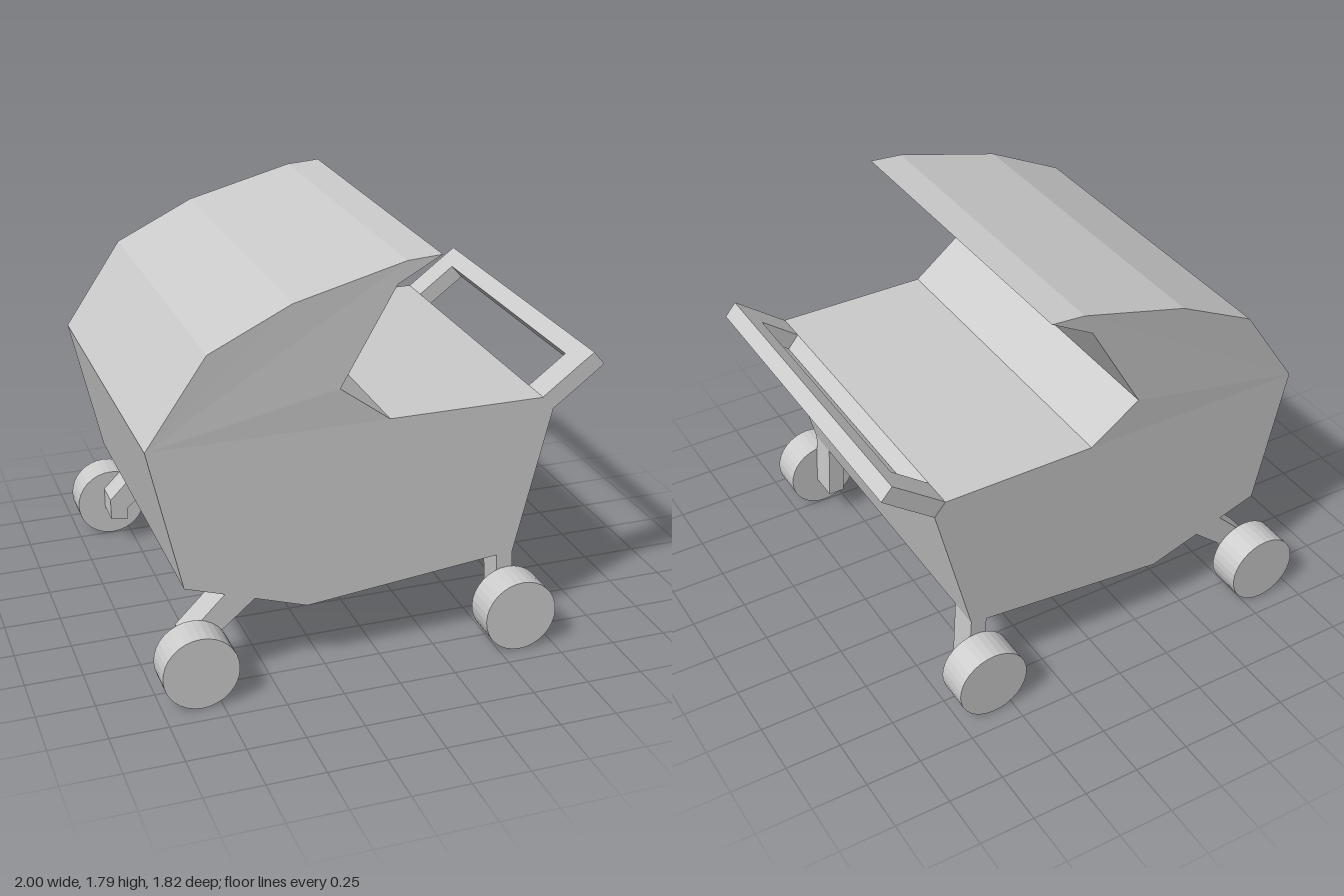
import * as THREE from 'three';

const material = new THREE.MeshStandardMaterial({ color: 0xcccccc, flatShading: true });

// Prism: a side profile in x/y extruded from z0 to z1
function prism(name, points, z0, z1) {
  const shape = new THREE.Shape(points.map(([x, y]) => new THREE.Vector2(x, y)));
  const geometry = new THREE.ExtrudeGeometry(shape, { depth: z1 - z0, bevelEnabled: false });
  geometry.translate(0, 0, z0);
  const mesh = new THREE.Mesh(geometry, material);
  mesh.name = name;
  return mesh;
}

export function createModel() {
  const model = new THREE.Group();
  model.name = 'babyCarriage';

  // Basket and hood share one side profile
  const body = prism('basketAndHood', [
    [-1, 1.11], [-0.86, 0.48], [-0.33, 0.305], [0.61, 0.4], [0.77, 1.05], [0.72, 1.11],
    [0.03, 1.11], [-0.19, 1.275], [0.05, 1.69], [0.24, 1.795], [0.09, 1.785],
    [-0.39, 1.66], [-0.74, 1.49],
  ], -0.757, 0.757);
  // The hood flares slightly past the basket
  const position = body.geometry.attributes.position;
  for (let i = 0; i < position.count; i++) {
    if (position.getY(i) > 1.2) position.setZ(i, position.getZ(i) * 1.009);
  }
  body.geometry.computeVertexNormals();
  model.add(body);

  // Push handle: two side arms and a crossbar
  const handle = new THREE.Group();
  handle.name = 'handle';
  handle.add(prism('handleBar',
    [[0.885, 1.235], [0.937, 1.176], [1, 1.225], [0.95, 1.283]], -0.755, 0.755));
  model.add(handle);

  const wheelRadius = 0.163;
  const rearLeg = [
    [-0.66, 0.45], [-0.87, 0.24], [-0.87, 0.14], [-0.79, 0.13], [-0.79, 0.185], [-0.53, 0.405],
  ];
  const frontLeg = [[0.535, 0.42], [0.55, 0.14], [0.625, 0.14], [0.609, 0.42]];

  for (const [side, label] of [[1, 'Front'], [-1, 'Back']]) {
    const inner = side > 0 ? 0.617 : -0.755;
    const outer = side > 0 ? 0.755 : -0.617;
    handle.add(prism('handleArm' + label,
      [[0.72, 1.11], [0.77, 1.05], [0.937, 1.176], [0.885, 1.235]], inner, outer));
    model.add(prism('hoodEndLeg' + label, rearLeg, inner, outer));
    model.add(prism('handleEndLeg' + label, frontLeg, inner, outer));

    // Wheels sit outside the legs
    for (const [x, end] of [[-0.837, 'hoodEnd'], [0.592, 'handleEnd']]) {
      const geometry = new THREE.CylinderGeometry(wheelRadius, wheelRadius, 0.157, 32);
      geometry.rotateX(Math.PI / 2);
      const wheel = new THREE.Mesh(geometry, material);
      wheel.name = end + 'Wheel' + label;
      wheel.position.set(x, wheelRadius, side * 0.833);
      model.add(wheel);
    }
  }
  return model;
}
